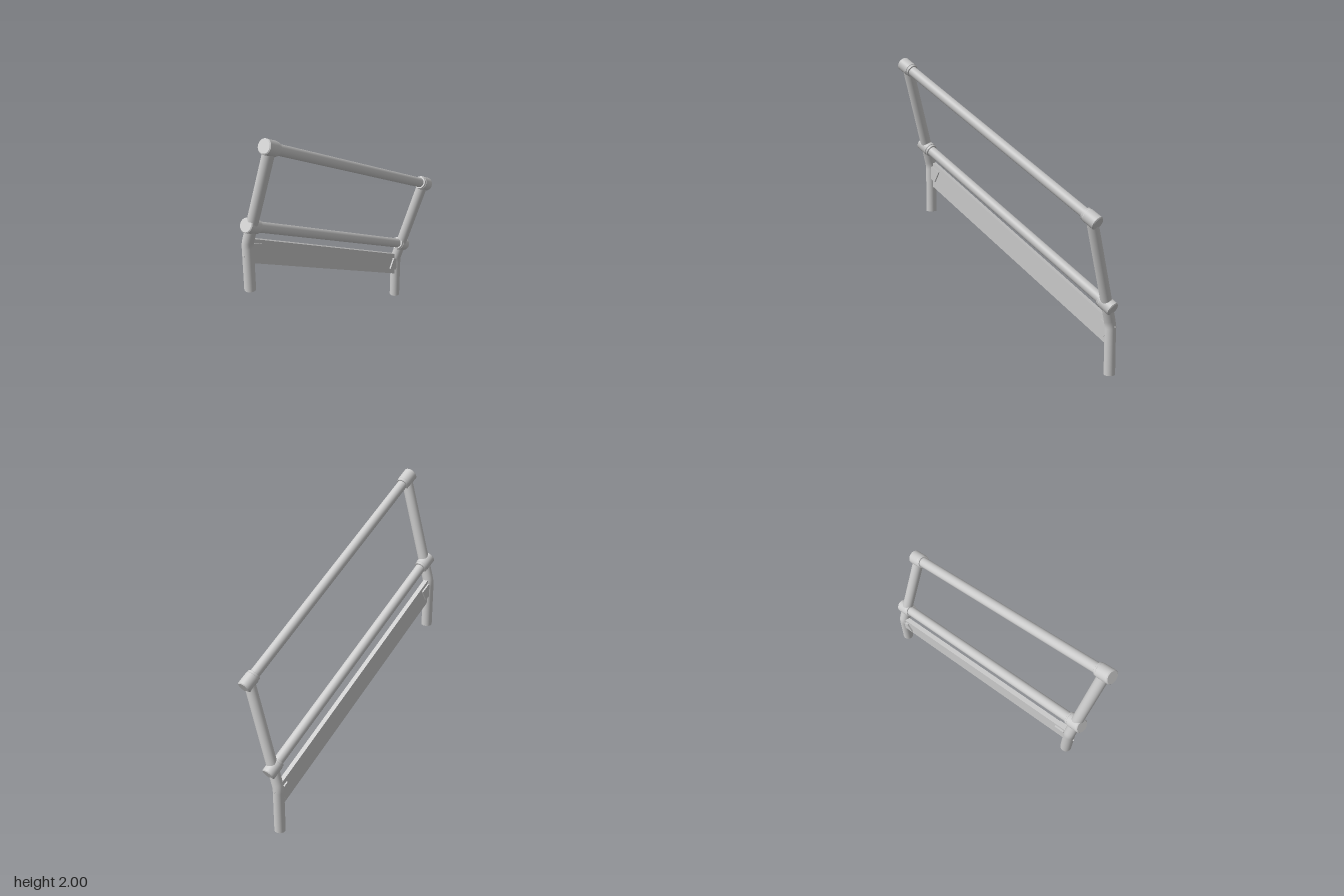
import * as THREE from 'three';

const material = new THREE.MeshStandardMaterial({ color: 0xcccccc });
const END = 0.8;      // z of the two posts
const DROP = 0.89;    // height lost from the front post to the back post
const SLOPE = Math.atan2(DROP, 2 * END);
const POST_R = 0.037, RAIL_R = 0.034;
const POST_X = -0.117;
const railHeights = [
  { name: 'upper', x: 0.1, y: 1.933 },
  { name: 'lower', x: -0.077, y: 1.362 },
];

function add(parent, name, geometry) {
  const mesh = new THREE.Mesh(geometry, material);
  mesh.name = name;
  parent.add(mesh);
  return mesh;
}

// Bent pipe: vertical foot, short bend, then leaning up to the top rail
function postPath() {
  const v = (x, y) => new THREE.Vector3(x, y, 0);
  const bend = v(POST_X, 1.225), top = v(0.1, 1.933);
  const lean = top.clone().sub(bend).normalize();
  const before = v(POST_X, 1.2), after = bend.clone().addScaledVector(lean, 0.025);
  const path = new THREE.CurvePath();
  path.add(new THREE.LineCurve3(v(POST_X, 0.89), before));
  path.add(new THREE.QuadraticBezierCurve3(before, bend, after));
  path.add(new THREE.LineCurve3(after, top));
  return path;
}

// Socket fitting: chamfered closed end, body and a slimmer collar on the rail side
function fittingGeometry() {
  const profile = [
    [0, 0.056], [0.041, 0.056], [0.047, 0.05], [0.047, -0.036],
    [0.044, -0.04], [0.044, -0.054], [0.042, -0.056], [0, -0.056],
  ];
  // Each profile step is its own band so the edges stay crisp
  const points = profile.flatMap(([r, y]) => [new THREE.Vector2(r, y), new THREE.Vector2(r, y)]);
  const g = new THREE.LatheGeometry(points.reverse(), 32).toNonIndexed();
  const n = g.attributes.normal, p = g.attributes.position;
  const a = new THREE.Vector3(), b = new THREE.Vector3();
  for (let i = 0; i < p.count; i += 3) {
    // Slant of the band containing this triangle
    let lo = 0, hi = 0;
    for (let k = 1; k < 3; k++) {
      if (p.getY(i + k) < p.getY(i + lo)) lo = k;
      if (p.getY(i + k) > p.getY(i + hi)) hi = k;
    }
    const dy = p.getY(i + hi) - p.getY(i + lo);
    const radius = (k) => Math.hypot(p.getX(i + k), p.getZ(i + k));
    const dr = radius(hi) - radius(lo);
    for (let k = 0; k < 3; k++) {
      a.set(p.getX(i + k), 0, p.getZ(i + k)).normalize();
      if (dy < 1e-5) b.set(0, Math.sign(p.getY(i)), 0);
      else b.copy(a).multiplyScalar(dy).setY(-dr).normalize();
      n.setXYZ(i + k, b.x, b.y, b.z);
    }
  }
  return g;
}

function createPost(side) {
  const post = new THREE.Group();
  post.name = side > 0 ? 'frontPost' : 'backPost';
  add(post, 'postPipe', new THREE.TubeGeometry(postPath(), 80, POST_R, 32, false));
  const foot = add(post, 'postFootCap', new THREE.CircleGeometry(POST_R, 32));
  foot.rotation.x = Math.PI / 2;
  foot.position.set(POST_X, 0.89, 0);

  // Fixing bolt on the outer face
  const bolt = add(post, 'bolt', new THREE.CylinderGeometry(0.006, 0.006, 0.012, 12));
  bolt.rotation.x = Math.PI / 2;
  bolt.position.set(POST_X, 1.15 + (side < 0 ? 0.06 : 0), side * 0.037);

  post.position.set(0, side > 0 ? 0 : -DROP, side * END);
  return post;
}

export function createModel() {
  const model = new THREE.Group();
  model.name = 'slopedHandrail';
  model.add(createPost(1), createPost(-1));

  // Sloping rails with a fitting at each end
  const fitting = fittingGeometry();
  for (const { name, x, y } of railHeights) {
    const length = Math.hypot(2 * END, DROP);
    const rail = add(model, name + 'Rail', new THREE.CylinderGeometry(RAIL_R, RAIL_R, length, 32));
    rail.position.set(x, y - DROP / 2, 0);
    rail.rotation.x = Math.PI / 2 - SLOPE;
    for (const side of [1, -1]) {
      const f = add(model, name + (side > 0 ? 'FrontFitting' : 'BackFitting'), fitting);
      f.position.set(x, side > 0 ? y : y - DROP, side * END);
      f.rotation.x = (side > 0 ? 0 : Math.PI) + Math.PI / 2 - SLOPE;
    }
  }

  // Toe board with plumb-cut ends; shape is drawn in (-z, y)
  const e = 0.772;
  const board = new THREE.Shape([
    new THREE.Vector2(-e, 1.075), new THREE.Vector2(e, 0.205),
    new THREE.Vector2(e, 0.38), new THREE.Vector2(-e, 1.25),
  ]);
  const thickness = 0.032;
  const toe = add(model, 'toeBoard', new THREE.ExtrudeGeometry(board, { depth: thickness, bevelEnabled: false }));
  toe.rotation.y = Math.PI / 2;
  toe.position.x = POST_X - thickness / 2;

  // Brackets clamping the board to the posts
  for (const side of [1, -1]) {
    const bracket = add(model, side > 0 ? 'frontBracket' : 'backBracket', new THREE.BoxGeometry(0.054, 0.085, 0.08));
    bracket.position.set(POST_X, side > 0 ? 1.165 : 0.305, side * 0.754);
    bracket.rotation.x = -SLOPE;
  }
  return model;
}
